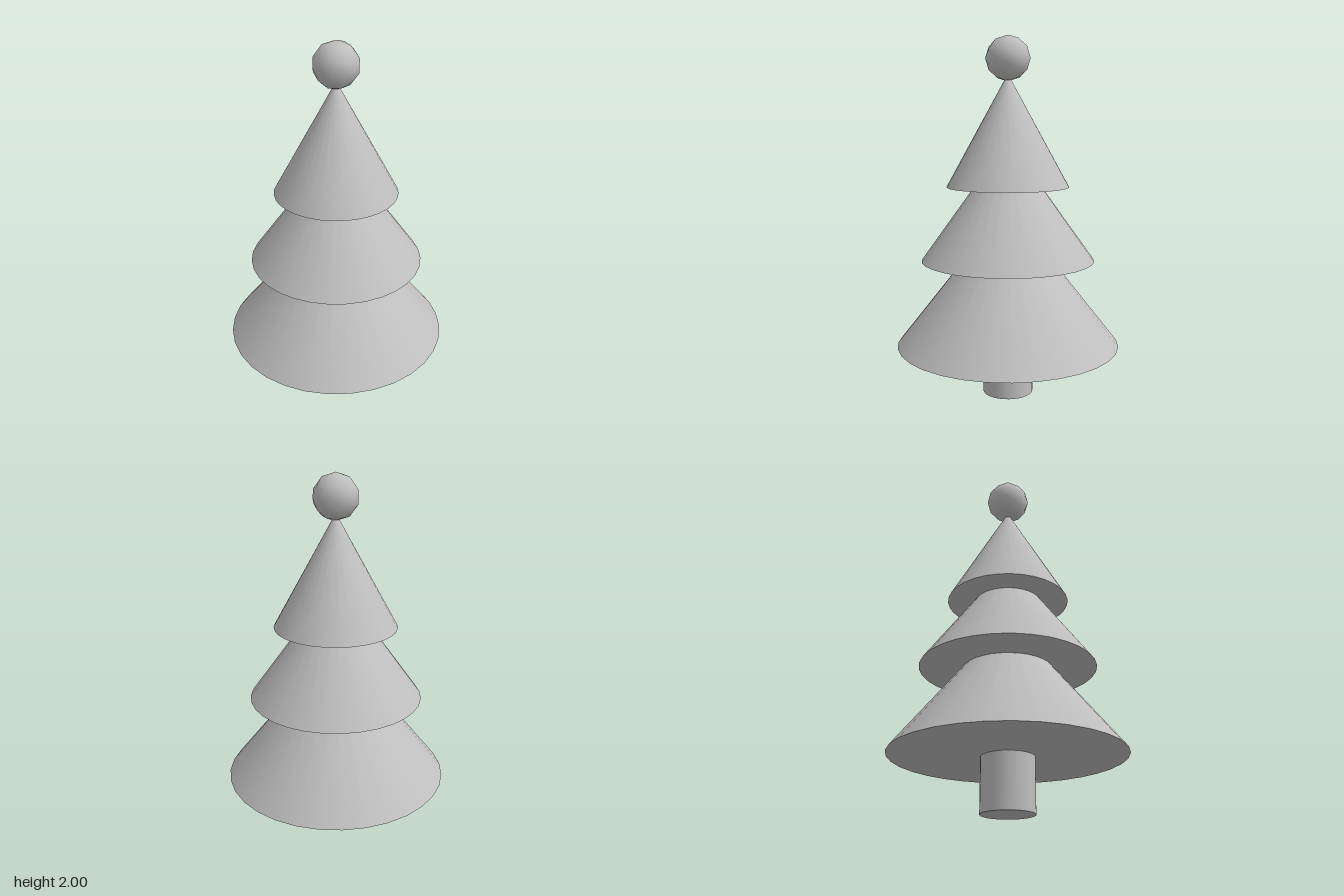
import * as THREE from 'three';

export function createModel() {
  const tree = new THREE.Group();
  tree.name = 'tree';
  const grey = new THREE.MeshStandardMaterial({ color: 0xbfbfbf });
  grey.name = 'plain grey';

  const add = (name, geometry, y) => {
    const mesh = new THREE.Mesh(geometry, grey);
    mesh.name = name;
    mesh.position.y = y;
    tree.add(mesh);
  };

  // Trunk, standing on the ground
  add('trunk', new THREE.CylinderGeometry(0.142, 0.142, 0.29, 32), 0.145);

  // Three overlapping cones of foliage: name, radius, base height, tip height
  const tiers = [
    ['lowerFoliage', 0.625, 0.29, 1.08],
    ['middleFoliage', 0.483, 0.77, 1.44],
    ['upperFoliage', 0.34, 1.18, 1.795],
  ];
  for (const [name, radius, base, tip] of tiers) {
    add(name, new THREE.ConeGeometry(radius, tip - base, 32), (base + tip) / 2);
  }

  // Faceted ball on the tip (this geometry has flat normals)
  add('topBall', new THREE.IcosahedronGeometry(0.123, 1), 1.877);

  return tree;
}
